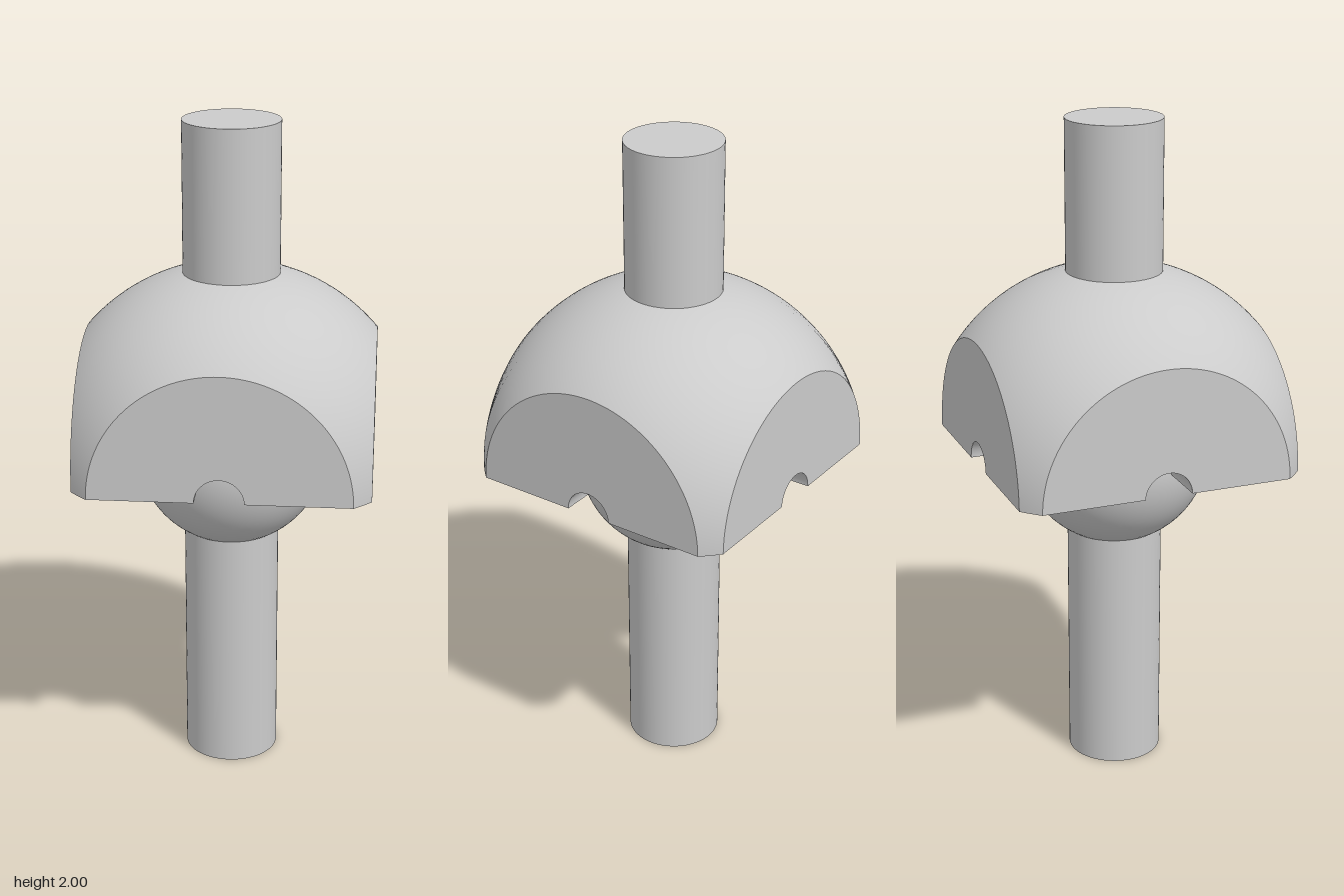
import * as THREE from 'three';

const U = 1 / 7;                              // base unit
const DOME_R = 4 * U, FLAT = 3 * U;           // dome radius, distance of the side flats
const ARC_R = Math.sqrt(DOME_R ** 2 - FLAT ** 2); // radius of the arc on each flat
const ROD_R = U, BALL_R = 2 * U, GROOVE_R = U / 2;
const MID = 1;                                // height of the ball centre

const grey = new THREE.MeshStandardMaterial({ color: 0xcccccc });
const greyDouble = new THREE.MeshStandardMaterial({ color: 0xcccccc, side: THREE.DoubleSide });

function add(parent, name, geometry, y = 0, material = grey) {
  const mesh = new THREE.Mesh(geometry, material);
  mesh.name = name;
  mesh.position.y = y;
  parent.add(mesh);
  return mesh;
}

// Spherical skin that stops exactly at the four flats and the base plane
function domeGeometry() {
  const FACE = 40, CORNER = 6, RINGS = 28;
  const rim = []; // [azimuth, polar angle at the rim]
  const half = Math.atan2(ARC_R, FLAT);
  for (let q = 0; q < 4; q++) {
    const turn = q * Math.PI / 2;
    for (let k = 0; k <= FACE; k++) {
      const phi = (k / FACE - 0.5) * Math.PI;
      rim.push([turn + Math.atan2(ARC_R * Math.sin(phi), FLAT), Math.acos(ARC_R * Math.cos(phi) / DOME_R)]);
    }
    for (let k = 1; k < CORNER; k++) {
      rim.push([turn + half + (Math.PI / 2 - 2 * half) * k / CORNER, Math.PI / 2]);
    }
  }
  const pos = [], nor = [], idx = [], n = rim.length;
  for (let i = 0; i <= RINGS; i++) {
    for (const [a, polar] of rim) {
      const t = polar * i / RINGS;
      const v = [Math.sin(t) * Math.cos(a), Math.cos(t), Math.sin(t) * Math.sin(a)];
      nor.push(...v);
      pos.push(...v.map(c => c * DOME_R));
    }
  }
  for (let i = 0; i < RINGS; i++) {
    for (let j = 0; j < n; j++) {
      const a = i * n + j, b = i * n + (j + 1) % n, c = a + n, d = b + n;
      if (i > 0) idx.push(a, b, c);
      idx.push(b, d, c);
    }
  }
  const g = new THREE.BufferGeometry();
  g.setAttribute('position', new THREE.Float32BufferAttribute(pos, 3));
  g.setAttribute('normal', new THREE.Float32BufferAttribute(nor, 3));
  g.setIndex(idx);
  return g;
}

// Half-disc side face with a notch where the groove comes out
function flatGeometry() {
  const s = new THREE.Shape();
  s.moveTo(GROOVE_R, 0);
  s.lineTo(ARC_R, 0);
  s.absarc(0, 0, ARC_R, 0, Math.PI, false);
  s.lineTo(-GROOVE_R, 0);
  s.absarc(0, 0, GROOVE_R, Math.PI, 0, true);
  return new THREE.ShapeGeometry(s, 40).translate(0, 0, FLAT);
}

// One quarter of the underside, between two grooves, facing down
function undersideGeometry() {
  const a = Math.atan2(ARC_R, FLAT);
  const s = new THREE.Shape();
  s.moveTo(GROOVE_R, GROOVE_R);
  s.lineTo(FLAT, GROOVE_R);
  s.lineTo(FLAT, ARC_R);
  s.absarc(0, 0, DOME_R, a, Math.PI / 2 - a, false);
  s.lineTo(GROOVE_R, FLAT);
  s.closePath();
  return new THREE.ShapeGeometry(s, 6).rotateX(Math.PI / 2);
}

// Half-round channel running from the ball out to a flat
function grooveGeometry() {
  const inner = BALL_R - 0.04, len = FLAT - inner;
  return new THREE.CylinderGeometry(GROOVE_R, GROOVE_R, len, 40, 1, true, Math.PI / 2, Math.PI)
    .rotateX(Math.PI / 2)
    .translate(0, 0, inner + len / 2);
}

export function createModel() {
  const model = new THREE.Group();
  model.name = 'ballAndCapOnRods';

  // Rods
  add(model, 'lowerRod', new THREE.CylinderGeometry(ROD_R, ROD_R, 0.9, 64), 0.45);
  add(model, 'upperRod', new THREE.CylinderGeometry(ROD_R, ROD_R, 0.5, 64), 1.75);

  // Ball
  add(model, 'ball', new THREE.SphereGeometry(BALL_R, 64, 40), MID);

  // Cap: dome, then flats, underside and grooves repeated on four sides
  const cap = new THREE.Group();
  cap.name = 'cap';
  cap.position.y = MID;
  model.add(cap);
  add(cap, 'dome', domeGeometry());
  const flat = flatGeometry(), underside = undersideGeometry(), groove = grooveGeometry();
  for (let q = 0; q < 4; q++) {
    const side = new THREE.Group();
    side.name = 'capSide' + (q + 1);
    side.rotation.y = q * Math.PI / 2;
    add(side, 'flat', flat);
    add(side, 'underside', underside);
    add(side, 'groove', groove, 0, greyDouble);
    cap.add(side);
  }
  return model;
}
